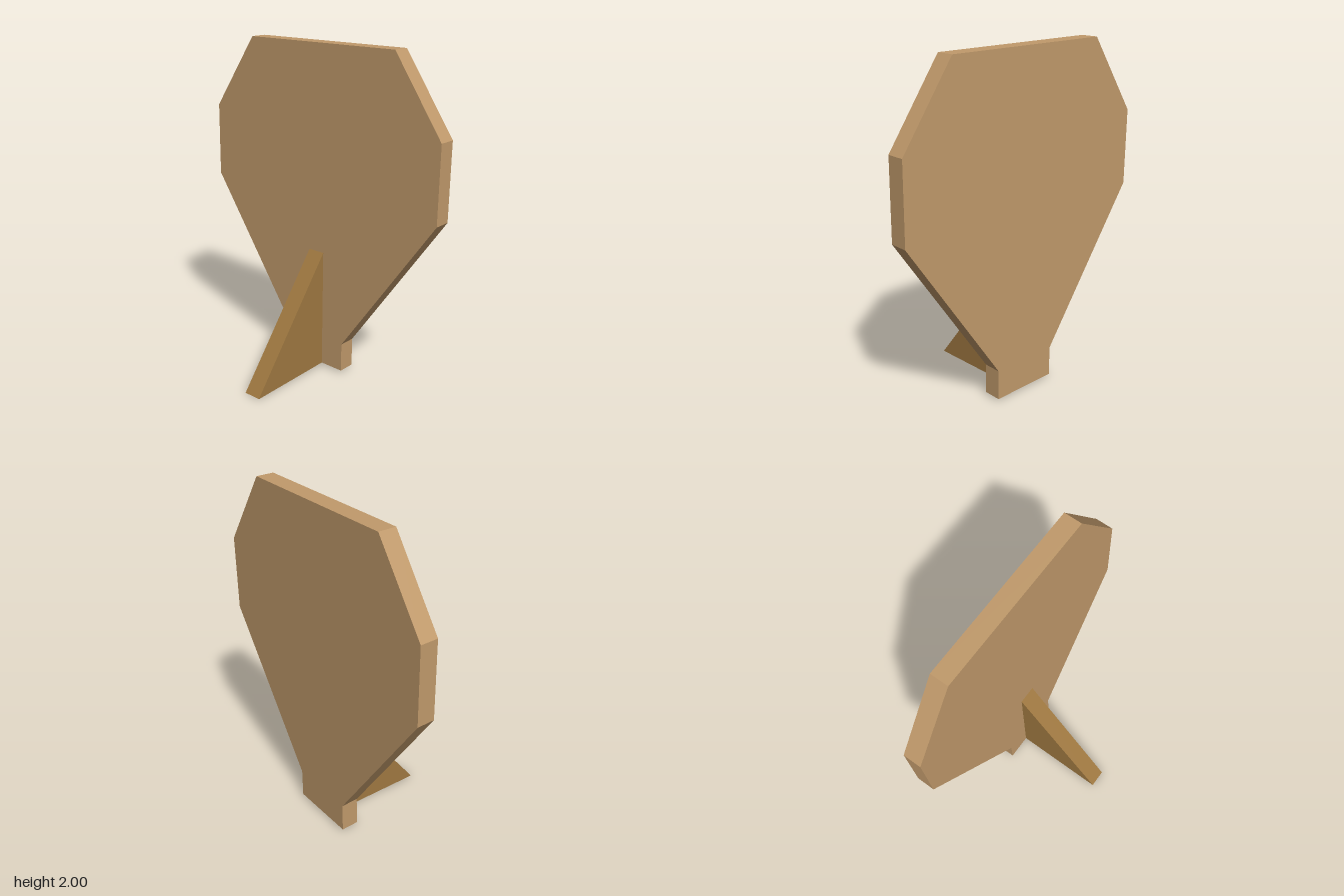
import * as THREE from 'three';

// Flat plate with the given outline, extruded along z
function plate(name, points, depth, color) {
  const shape = new THREE.Shape(points.map(([x, y]) => new THREE.Vector2(x, y)));
  const geometry = new THREE.ExtrudeGeometry(shape, { depth, bevelEnabled: false });
  geometry.translate(0, 0, -depth / 2);
  const mesh = new THREE.Mesh(geometry, new THREE.MeshStandardMaterial({ color, flatShading: true }));
  mesh.name = name;
  return mesh;
}

export function createModel() {
  const model = new THREE.Group();
  model.name = 'standingBoard';

  // Upright board: one half of the outline, mirrored, facing along x
  const half = [[0.21, 0.015], [0.21, 0.195], [0.835, 1.097], [0.835, 1.55], [0.523, 2]];
  const mirrored = half.map(([z, y]) => [-z, y]).reverse();
  const board = plate('board', [...half, ...mirrored], 0.106, 0xc19a6b);
  board.rotation.y = Math.PI / 2;
  board.position.x = 0.283;
  model.add(board);

  // Triangular prop behind the board
  const prop = plate('supportWedge', [[-0.337, 0], [0.23, 0.015], [0.23, 0.755]], 0.11, 0xa07941);
  model.add(prop);

  return model;
}
